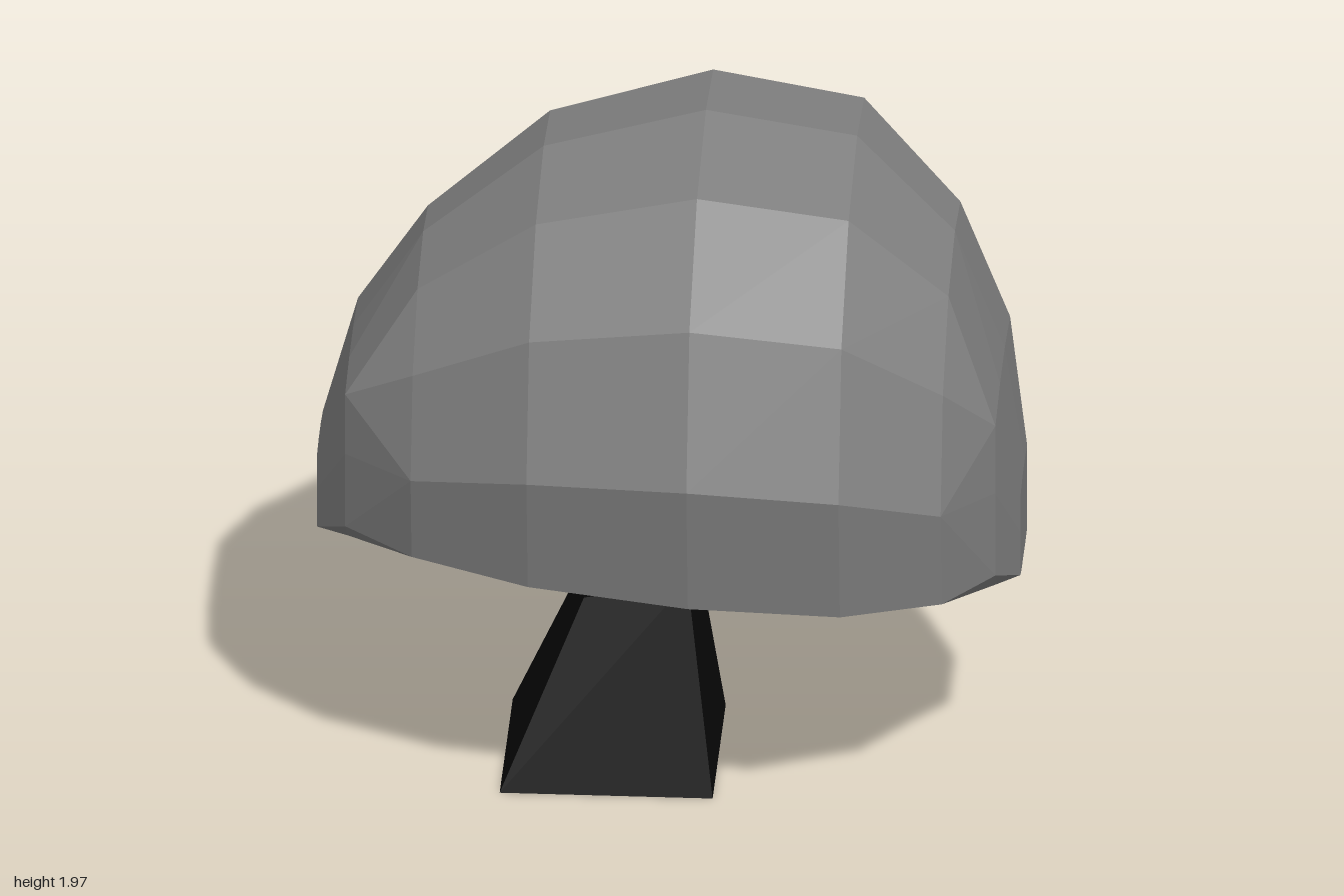
import * as THREE from 'three';

// Skin a list of equal-length closed rings and cap both ends, faceted.
function loft(points, name, color) {
  const rings = points.map((ring) => ring.map((p) => new THREE.Vector3(...p)));
  const tris = [];
  const n = rings[0].length;
  for (let i = 0; i < rings.length - 1; i++) {
    for (let j = 0; j < n; j++) {
      const k = (j + 1) % n;
      const [a, b, c, d] = [rings[i][j], rings[i + 1][j], rings[i + 1][k], rings[i][k]];
      // Split each twisted quad along its outward-bulging diagonal
      const normal = b.clone().sub(a).cross(c.clone().sub(a));
      if (normal.dot(d.clone().sub(a)) > 0) tris.push(a, b, d, b, c, d);
      else tris.push(a, b, c, a, c, d);
    }
  }
  const first = rings[0], last = rings[rings.length - 1];
  for (let j = 1; j < n - 1; j++) {
    tris.push(first[0], first[j], first[j + 1], last[0], last[j + 1], last[j]);
  }
  const geo = new THREE.BufferGeometry().setFromPoints(tris);
  geo.computeVertexNormals();
  const mesh = new THREE.Mesh(geo, new THREE.MeshStandardMaterial({ color, flatShading: true }));
  mesh.name = name;
  return mesh;
}

// Cross-section [z, height above rim], front rim over the top to back rim
const ARCH = [
  [0.69, 0], [0.76, 0.4], [0.62, 0.84], [0.27, 1.09], [-0.14, 1.17],
  [-0.48, 1.13], [-0.68, 0.89], [-0.76, 0.41], [-0.68, -0.03],
];
// Squarer section for the blunt ends; its back corner gathers two points
const BLUNT = [
  [0.97, 0], [1, 0.52], [0.98, 0.93], [0.36, 0.99], [-0.3, 1],
  [-1, 0.96], [-1, 0.96], [-1, 0.5], [-0.97, 0],
];

// Stations along x: rim height, underside height, section, width and height scale
const STATIONS = [
  { x: -1, rim: 0.74, low: 0.735, section: BLUNT, w: 0.14, h: 0.24 },
  { x: -0.91, rim: 0.82, low: 0.74, section: BLUNT, w: 0.3, h: 0.45 },
  { x: -0.71, rim: 0.82, low: 0.755, section: ARCH, w: 0.645, h: 0.655 },
  { x: -0.37, rim: 0.815, low: 0.76, section: ARCH, w: 0.88, h: 0.885 },
  { x: 0.09, rim: 0.8, low: 0.74, section: ARCH, w: 1, h: 1 },
  { x: 0.52, rim: 0.77, low: 0.69, section: ARCH, w: 0.95, h: 0.97 },
  { x: 0.8, rim: 0.745, low: 0.66, section: ARCH, w: 0.73, h: 0.755 },
  { x: 0.94, rim: 0.74, low: 0.655, section: BLUNT, w: 0.34, h: 0.51 },
  { x: 1, rim: 0.655, low: 0.65, section: BLUNT, w: 0.155, h: 0.27 },
];

export function createModel() {
  const group = new THREE.Group();
  group.name = 'tree';

  // Canopy: domed arch sections, closed below by a bevelled underside
  const canopyRings = STATIONS.map(({ x, rim, low, section, w, h }) => {
    const shift = section === BLUNT ? -0.03 : 0;
    const ring = section.map(([z, y]) => [x, rim + y * h, z * w + shift]);
    const front = ring[0][2], back = ring[ring.length - 1][2];
    ring.push([x, low, back * 0.6], [x, low, front * 0.6]);
    return ring;
  });
  group.add(loft(canopyRings, 'canopy', 0x808080));

  // Trunk: flared square base, narrow neck leaning into the canopy
  const trunkRings = [
    // x min, x max, y at x min, y at x max, z min, z max
    [-0.47, 0.135, 0, 0, -0.32, 0.28],
    [-0.24, 0.055, 0.55, 0.61, -0.175, 0.13],
    [-0.265, 0.0, 0.82, 0.82, -0.17, 0.13],
  ].map(([x0, x1, y0, y1, z0, z1]) => [[x1, y1, z1], [x0, y0, z1], [x0, y0, z0], [x1, y1, z0]]);
  group.add(loft(trunkRings, 'trunk', 0x080808));

  return group;
}
